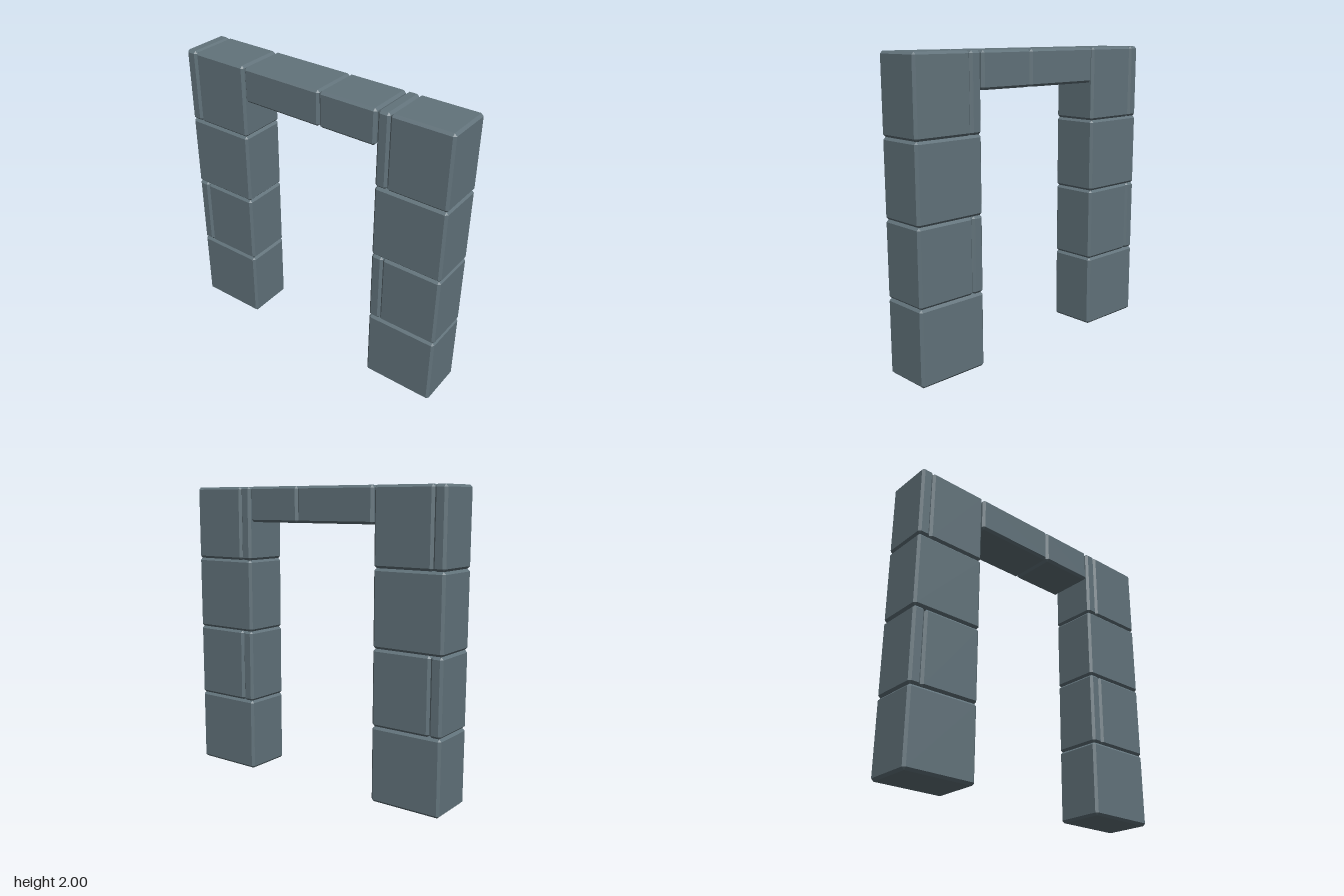
import * as THREE from 'three';
import { ConvexGeometry } from 'three/addons/geometries/ConvexGeometry.js';

const DEPTH = 0.334;
const BEVEL = 0.016;

// Box with flat chamfers on every edge, given its x and y limits
function chamferedBlock(x0, x1, y0, y1) {
  const half = [(x1 - x0) / 2, (y1 - y0) / 2, DEPTH / 2];
  const points = [];
  for (const sx of [-1, 1]) for (const sy of [-1, 1]) for (const sz of [-1, 1]) {
    const signs = [sx, sy, sz];
    // each corner is cut into three points, one on each adjoining face
    for (let face = 0; face < 3; face++) {
      points.push(new THREE.Vector3(
        ...half.map((h, axis) => signs[axis] * (axis === face ? h : h - BEVEL))));
    }
  }
  const geometry = new ConvexGeometry(points);
  geometry.translate((x0 + x1) / 2, (y0 + y1) / 2, 0);
  return geometry;
}

export function createModel() {
  const stone = new THREE.MeshStandardMaterial({ color: 0x62737b });
  stone.name = 'slate stone';
  const model = new THREE.Group();
  model.name = 'stone doorway';

  function addBlock(parent, name, ...limits) {
    const mesh = new THREE.Mesh(chamferedBlock(...limits), stone);
    mesh.name = name;
    parent.add(mesh);
  }

  // Pillars: whole blocks alternate with courses split into a slab and a block
  function addPillar(name, x0, x1) {
    const pillar = new THREE.Group();
    pillar.name = name;
    const joint = x0 + 0.083;
    for (let course = 0; course < 4; course++) {
      const y0 = course * 0.5;
      const y1 = y0 + 0.5;
      if (course % 2 === 0) {
        addBlock(pillar, 'wholeBlock', x0, x1, y0, y1);
      } else {
        addBlock(pillar, 'narrowSlab', x0, joint, y0, y1);
        addBlock(pillar, 'wideBlock', joint, x1, y0, y1);
      }
    }
    model.add(pillar);
  }
  addPillar('rightPillar', -1, -0.508);
  addPillar('leftPillar', 0.503, 1);

  // Lintel of two blocks, level with the pillar tops
  const lintel = new THREE.Group();
  lintel.name = 'lintel';
  addBlock(lintel, 'longLintelBlock', -0.5, 0.088, 1.763, 2);
  addBlock(lintel, 'shortLintelBlock', 0.088, 0.494, 1.763, 2);
  model.add(lintel);

  return model;
}
